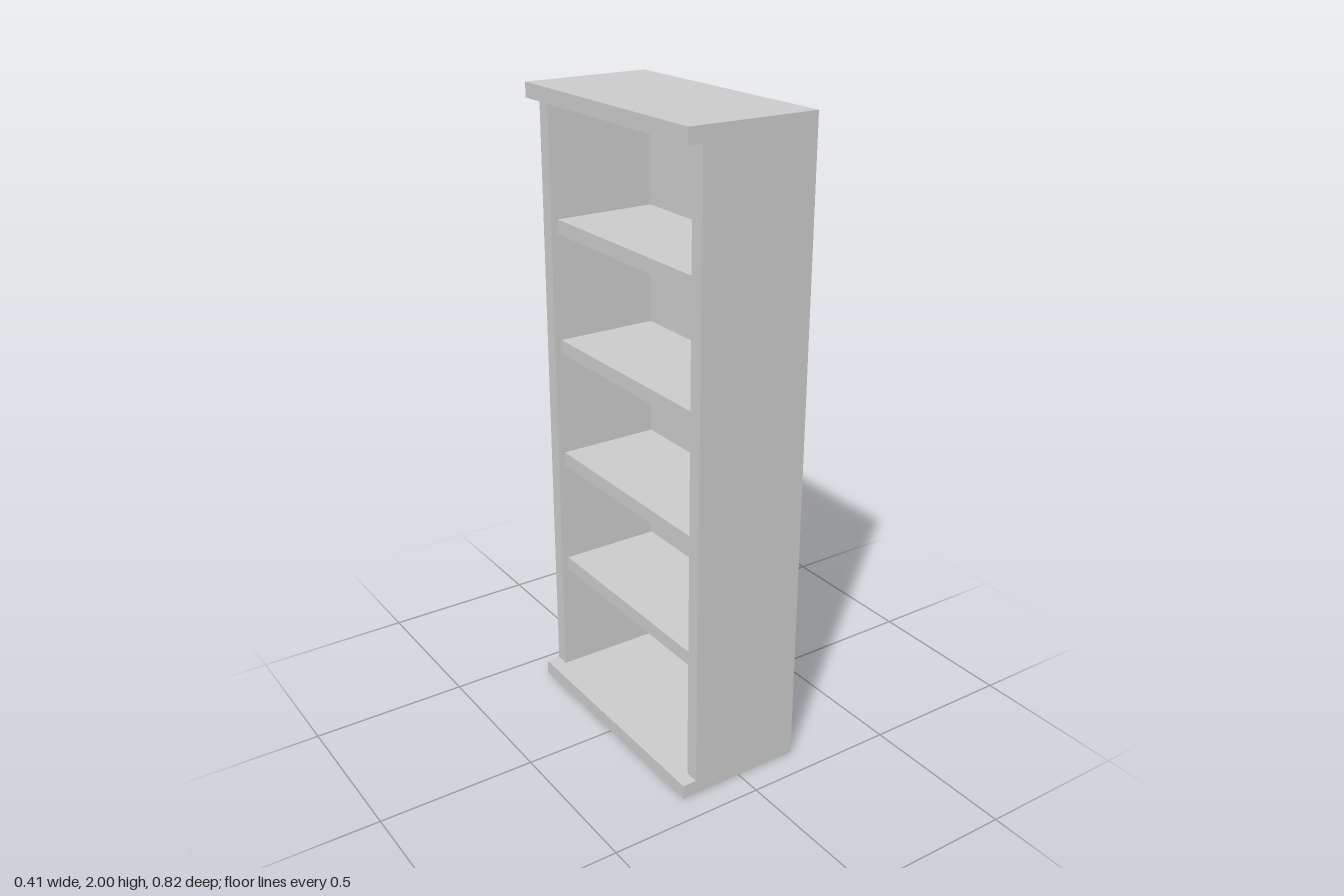
import * as THREE from 'three';

export function createModel() {
  const group = new THREE.Group();
  const material = new THREE.MeshStandardMaterial({ color: 0xcccccc });

  // Overall extents and board thicknesses
  const X = 0.205, Z = 0.41, H = 2;
  const board = 0.045, backing = 0.01;
  const backX = X - backing;      // inner face of the back panel
  const sideX = -0.16;            // open edge of the side panels
  const shelfX = -0.137;          // shelves sit slightly inside the sides

  // Box given by its minimum and maximum on each axis
  function addBoard(name, x0, x1, y0, y1, z0, z1) {
    const mesh = new THREE.Mesh(new THREE.BoxGeometry(x1 - x0, y1 - y0, z1 - z0), material);
    mesh.position.set((x0 + x1) / 2, (y0 + y1) / 2, (z0 + z1) / 2);
    mesh.name = name;
    group.add(mesh);
  }

  // Closed back, facing +x; the bookcase opens toward -x
  addBoard('backPanel', backX, X, 0, H, -Z, Z);

  // Projecting base and top
  addBoard('basePanel', -X, backX, 0, board, -Z, Z);
  addBoard('topPanel', -X, backX, H - board, H, -Z, Z);

  // Side panels
  addBoard('frontSidePanel', sideX, backX, board, H - board, Z - board, Z);
  addBoard('rearSidePanel', sideX, backX, board, H - board, -Z, -Z + board);

  // Four evenly spaced shelves
  const step = (H - 2 * board) / 5;
  for (let i = 1; i <= 4; i++) {
    const y = board + i * step;
    addBoard(`shelf${i}`, shelfX, backX, y - board / 2, y + board / 2, -Z + board, Z - board);
  }

  return group;
}
